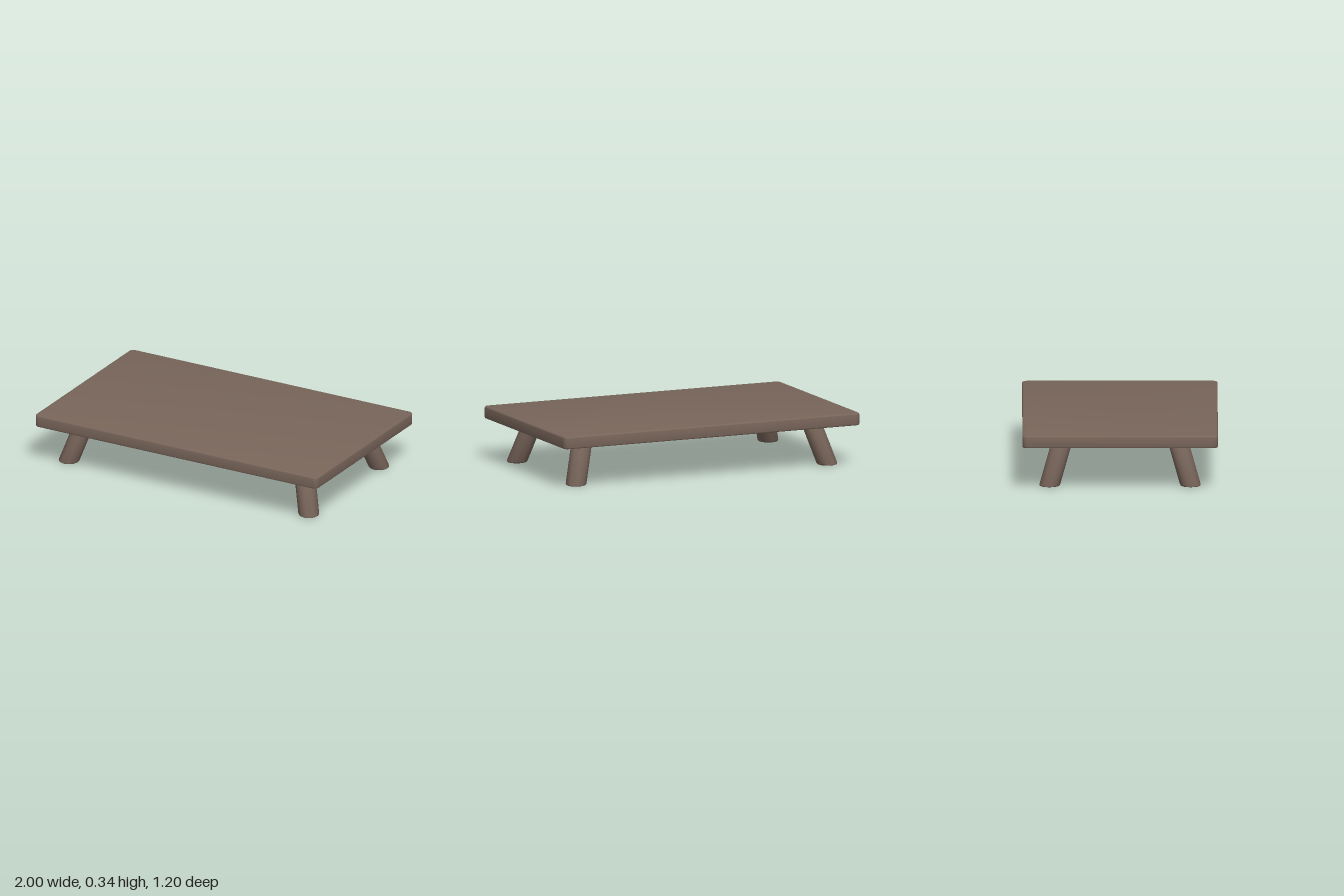
import * as THREE from 'three';
import { toCreasedNormals } from 'three/addons/utils/BufferGeometryUtils.js';

const wood = new THREE.MeshStandardMaterial({ color: 0x78655a });

// Board with rounded corners and softened edges
function makeTabletop() {
  const bevel = 0.01, r = 0.02, w = 1 - bevel, d = 0.6 - bevel;
  const outline = new THREE.Shape();
  outline.absarc(w - r, d - r, r, 0, Math.PI / 2);
  outline.absarc(-w + r, d - r, r, Math.PI / 2, Math.PI);
  outline.absarc(-w + r, -d + r, r, Math.PI, Math.PI * 1.5);
  outline.absarc(w - r, -d + r, r, Math.PI * 1.5, Math.PI * 2);
  outline.closePath();
  const geo = new THREE.ExtrudeGeometry(outline, {
    depth: 0.077 - 2 * bevel, bevelSize: bevel, bevelThickness: bevel, bevelSegments: 3, curveSegments: 6,
  });
  geo.rotateX(-Math.PI / 2).translate(0, 0.258 + bevel, 0);
  const mesh = new THREE.Mesh(toCreasedNormals(geo, 0.7), wood);
  mesh.name = 'tabletop';
  return mesh;
}

// Round leg with a softened foot, leaning outwards while its foot stays flat
function makeLeg(name, sx, sz) {
  const height = 0.265, radius = 0.064, lean = 0.295;
  const profile = [[0, 0], [radius - 0.009, 0], [radius - 0.003, 0.003], [radius, 0.01], [radius, height], [0, height]]
    .map(([x, y]) => new THREE.Vector2(x, y));
  const geo = new THREE.LatheGeometry(profile, 32);
  const shear = new THREE.Matrix4().set(
    1, -sx * lean, 0, sx * 0.85,
    0, 1, 0, 0,
    0, -sz * lean, 1, sz * 0.434,
    0, 0, 0, 1);
  geo.applyMatrix4(shear);
  const mesh = new THREE.Mesh(toCreasedNormals(geo, 0.75), wood);
  mesh.name = name;
  return mesh;
}

export function createModel() {
  const table = new THREE.Group();
  table.name = 'lowTable';
  table.add(makeTabletop());
  for (const [sx, side] of [[1, 'Left'], [-1, 'Right']])
    for (const [sz, end] of [[1, 'front'], [-1, 'back']])
      table.add(makeLeg(end + side + 'Leg', sx, sz));
  return table;
}
